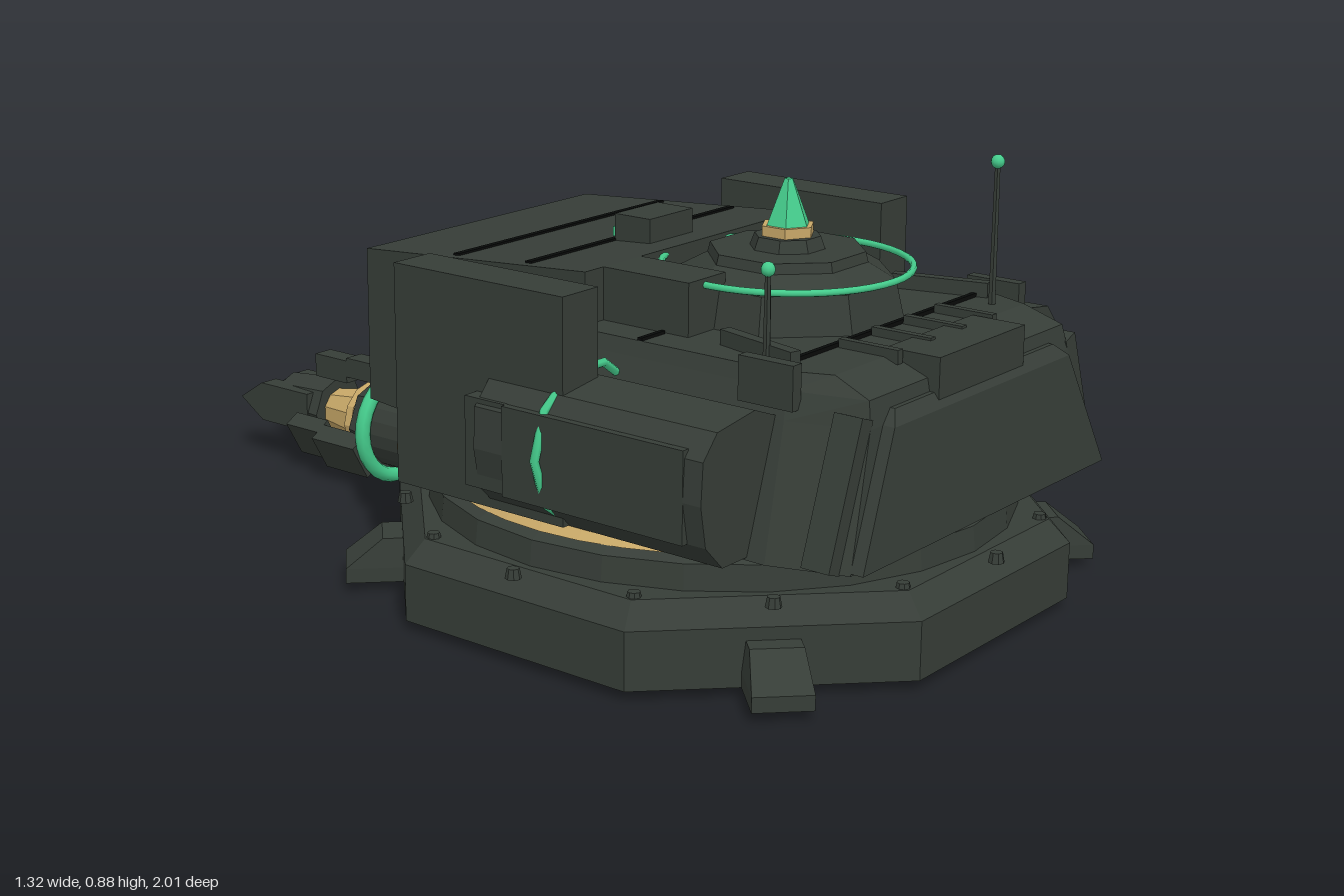
import * as THREE from 'three';

const mat = (name, color) => {
  const m = new THREE.MeshStandardMaterial({ color });
  m.name = name;
  return m;
};

export function createModel() {
  const armor = mat('dark green armor', 0x363d37);
  const black = mat('black seam', 0x080a09);
  const gold = mat('brass', 0xc8a868);
  const green = mat('mint glow', 0x45cc8c);
  const CZ = 0.35; // centre of the round base
  const root = new THREE.Group();
  root.name = 'turret';

  const add = (name, geo, material, x = 0, y = 0, z = 0, parent = root) => {
    const g = geo.index ? geo.toNonIndexed() : geo;
    const smooth = ['TorusGeometry', 'SphereGeometry'].includes(geo.type);
    if (!smooth) g.computeVertexNormals();
    const mesh = new THREE.Mesh(g, material);
    mesh.name = name;
    mesh.position.set(x, y, z);
    parent.add(mesh);
    return mesh;
  };
  const box = (name, x0, x1, y0, y1, z0, z1, m = armor, parent = root) =>
    add(name, new THREE.BoxGeometry(x1 - x0, y1 - y0, z1 - z0), m,
      (x0 + x1) / 2, (y0 + y1) / 2, (z0 + z1) / 2, parent);
  const cyl = (name, rTop, rBot, y0, y1, sides, m, x, z, turn = 0) => {
    const c = add(name, new THREE.CylinderGeometry(rTop, rBot, y1 - y0, sides), m, x, (y0 + y1) / 2, z);
    c.rotation.y = turn;
    return c;
  };

  // Solid from stacked levels; each is [y, half outline from front to back on +x]
  const loft = (levels) => {
    const rings = levels.map(([y, half]) => [
      ...half.map(([x, z]) => [x, y, z]),
      ...[...half].reverse().map(([x, z]) => [-x, y, z]),
    ]);
    const n = rings[0].length, p = [];
    const tri = (a, b, c) => p.push(...a, ...b, ...c);
    for (let k = 0; k + 1 < rings.length; k++) {
      const a = rings[k], b = rings[k + 1];
      for (let i = 0; i < n; i++) {
        const j = (i + 1) % n;
        tri(a[i], a[j], b[j]);
        tri(a[i], b[j], b[i]);
      }
    }
    const lo = rings[0], hi = rings[rings.length - 1];
    for (let i = 1; i + 1 < n; i++) {
      tri(lo[0], lo[i + 1], lo[i]);
      tri(hi[0], hi[i], hi[i + 1]);
    }
    const g = new THREE.BufferGeometry();
    g.setAttribute('position', new THREE.Float32BufferAttribute(p, 3));
    return g;
  };

  // Octagonal base, turntable and brass bearing
  const oct = 1 / Math.cos(Math.PI / 8), T = Math.PI / 8;
  cyl('baseSkirt', 0.65 * oct, 0.65 * oct, 0.02, 0.135, 8, armor, 0, CZ, T);
  cyl('baseChamfer', 0.61 * oct, 0.65 * oct, 0.135, 0.18, 8, armor, 0, CZ, T);
  cyl('turntable', 0.59, 0.595, 0.18, 0.23, 24, armor, 0, CZ);
  cyl('turntableLip', 0.565, 0.59, 0.23, 0.242, 24, armor, 0, CZ);
  cyl('brassBearing', 0.55, 0.57, 0.242, 0.262, 40, gold, 0, CZ);
  for (let i = 0; i < 16; i++) {
    const a = i * Math.PI / 8;
    cyl('baseBolt', 0.012, 0.016, 0.17, 0.19, 8, armor, 0.642 * Math.sin(a), CZ + 0.642 * Math.cos(a));
  }
  // Wedge feet on the diagonals
  for (let i = 0; i < 4; i++) {
    const g = loft([
      [0.02, [[0.057, 0.765], [0.057, 0.6]]],
      [0.05, [[0.057, 0.765], [0.057, 0.6]]],
      [0.11, [[0.05, 0.69], [0.05, 0.6]]],
    ]);
    add('foot', g, armor, 0, 0, CZ).rotation.y = Math.PI / 4 + i * Math.PI / 2;
  }

  // Sloped hull and front plate
  add('hull', loft([
    [0.255, [[0.43, 0.95], [0.48, 0.8], [0.47, 0.05], [0.36, -0.17]]],
    [0.5, [[0.35, 0.93], [0.4, 0.78], [0.4, 0.05], [0.36, -0.15]]],
    [0.55, [[0.34, 0.92], [0.38, 0.77], [0.38, 0.05], [0.35, -0.12]]],
    [0.58, [[0.33, 0.84], [0.37, 0.74], [0.37, 0.05], [0.34, -0.1]]],
  ]), armor);
  add('frontPlate', loft([
    [0.26, [[0.43, 0.976], [0.43, 0.9]]],
    [0.5, [[0.31, 0.955], [0.31, 0.88]]],
    [0.525, [[0.28, 0.935], [0.28, 0.88]]],
  ]), armor);
  box('visorBlock', -0.15, 0.15, 0.5, 0.592, 0.83, 0.945);
  box('deckSeam', -0.38, 0.38, 0.579, 0.588, 0.728, 0.738, black);
  for (const x of [-0.165, -0.055, 0.055, 0.165]) box('deckRib', x - 0.008, x + 0.008, 0.57, 0.597, 0.74, 0.87);
  for (const s of [-1, 1]) {
    const edge = box('frontEdgeBar', -0.018, 0.018, -0.14, 0.14, -0.03, 0.03);
    edge.position.set(s * 0.405, 0.39, 0.9);
    edge.rotation.z = s * 0.34;
    box('deckVent', s * 0.39 - 0.013, s * 0.39 + 0.013, 0.52, 0.605, 0.68, 0.8);
    box('sideDeckSeam', s * 0.335 - 0.035, s * 0.335 + 0.035, 0.579, 0.586, 0.424, 0.434, black);
    const rail = box('deckRail', -0.012, 0.012, -0.02, 0.02, -0.1, 0.1);
    rail.position.set(s * 0.31, 0.59, 0.66);
    rail.rotation.y = s * 0.25;
  }

  // Rear launcher box with its top sloping backward
  const launcher = new THREE.BoxGeometry(0.7, 0.36, 0.58);
  const lp = launcher.attributes.position;
  for (let i = 0; i < lp.count; i++) {
    const front = lp.getZ(i) > 0, top = lp.getY(i) > 0;
    lp.setY(i, top ? (front ? 0.685 : 0.645) : (front ? 0.27 : 0.325));
  }
  add('launcherBox', launcher, armor, 0, 0, -0.01);
  for (const z of [-0.07, 0.12]) {
    const seam = box('launcherSeam', -0.33, 0.33, -0.004, 0.004, -0.008, 0.008, black);
    seam.position.set(0, 0.666 + z * 0.069, z);
    seam.rotation.x = -0.069;
  }
  box('roofHatch', -0.07, 0.07, 0.67, 0.73, 0.125, 0.215);
  box('hatchLight', -0.06, 0.06, 0.68, 0.7, 0.112, 0.12, green);
  box('roofSensor', -0.295, -0.18, 0.57, 0.685, 0.28, 0.485);
  for (const x of [-0.13, 0.13]) for (const y of [0.4, 0.57]) {
    const cap = add('launchTubeCap', new THREE.CylinderGeometry(0.069, 0.069, 0.03, 16), gold, x, y, -0.3);
    cap.rotation.x = Math.PI / 2;
  }

  // Side pods, glowing bands and tall fins
  const podShape = new THREE.Shape([
    [0.38, 0.26], [0.55, 0.26], [0.6, 0.31], [0.615, 0.39], [0.61, 0.47], [0.57, 0.515], [0.46, 0.53], [0.38, 0.5],
  ].map(([x, y]) => new THREE.Vector2(x, y)));
  for (const s of [-1, 1]) {
    const pod = new THREE.ExtrudeGeometry(podShape, { depth: 0.53, bevelEnabled: false });
    if (s < 0) pod.rotateY(Math.PI);
    add('sidePod', pod, armor, 0, 0, s > 0 ? 0.23 : 0.76);
    const band = add('podBand', new THREE.TorusGeometry(0.152, 0.009, 6, 10), green, s * 0.475, 0.4, 0.39);
    band.rotation.z = s > 0 ? 0 : Math.PI;
    box('podPanel', s * 0.607 - 0.008, s * 0.607 + 0.008, 0.31, 0.485, 0.3, 0.72);
    box('podRear', s * 0.57 - 0.035, s * 0.57 + 0.035, 0.31, 0.485, 0.2, 0.3);
    box('tallFin', s * 0.52 - 0.05, s * 0.52 + 0.05, 0.262, 0.7, -0.01, 0.41);
    const strut = box('rearStrut', -0.018, 0.018, -0.19, 0.19, -0.03, 0.03);
    strut.position.set(s * 0.39, 0.43, -0.07);
    strut.rotation.x = 0.3;
  }

  // Cupola with glowing hoop and beacon
  cyl('cupolaBase', 0.215, 0.235, 0.57, 0.655, 8, armor, 0, 0.5, T);
  cyl('cupolaShoulder', 0.16, 0.215, 0.655, 0.685, 8, armor, 0, 0.5, T);
  cyl('cupolaCap', 0.155, 0.16, 0.685, 0.705, 8, armor, 0, 0.5, T);
  cyl('cupolaCollar', 0.066, 0.075, 0.705, 0.73, 8, armor, 0, 0.5, T);
  add('cupolaHoop', new THREE.TorusGeometry(0.245, 0.007, 8, 48), green, 0, 0.672, 0.5).rotation.x = Math.PI / 2;
  cyl('beaconSocket', 0.055, 0.055, 0.7, 0.75, 6, gold, 0, 0.5);
  cyl('beacon', 0.009, 0.045, 0.75, 0.84, 6, green, 0, 0.5);

  // Antennas
  for (const [x, z, top] of [[0.29, 0.79, 0.865], [-0.33, 0.69, 0.75]]) {
    cyl('antennaMast', 0.006, 0.008, 0.56, top, 6, armor, x, z);
    add('antennaTip', new THREE.SphereGeometry(0.014, 10, 8), green, x, top, z);
  }

  // Rear arm along -z with alternating hoops
  const arm = new THREE.Group();
  arm.name = 'rearArm';
  arm.position.y = 0.135;
  root.add(arm);
  const rod = (name, rBack, rFront, zBack, zFront, sides, m) => {
    const r = add(name, new THREE.CylinderGeometry(rFront, rBack, zFront - zBack, sides), m, 0, 0, (zBack + zFront) / 2, arm);
    r.rotation.x = Math.PI / 2;
  };
  rod('armTube', 0.097, 0.097, -0.57, 0.12, 20, armor);
  for (let i = 0; i < 6; i++)
    add('armHoop', new THREE.TorusGeometry(0.117, 0.017, 8, 28), i % 2 ? green : gold, 0, 0, 0.09 - i * 0.13, arm);
  rod('wristCollar', 0.1, 0.115, -0.62, -0.56, 8, armor);
  rod('wristCore', 0.045, 0.075, -0.77, -0.6, 10, gold);
  rod('wristRing', 0.085, 0.085, -0.65, -0.63, 12, gold);
  rod('clawHub', 0.06, 0.075, -0.9, -0.75, 8, armor);
  // Three knuckle plates around the wrist
  for (let i = 0; i < 3; i++) {
    const k = new THREE.Group();
    k.name = 'knuckle';
    k.rotation.z = i * Math.PI * 2 / 3;
    arm.add(k);
    const w = i ? 0.045 : 0.024;
    box('knucklePlate', -w, w, 0.09, 0.135, -0.7, -0.57, armor, k);
    box('knuckleTip', -w, w, 0.075, i ? 0.115 : 0.128, -0.8, -0.7, armor, k);
  }
  // Pointed prongs
  for (const s of [-1, 1]) {
    const prong = new THREE.Shape([[-0.78, -0.045], [-0.93, -0.045], [-1, 0], [-0.93, 0.045], [-0.78, 0.045]]
      .map(([z, y]) => new THREE.Vector2(-z, y)));
    const g = new THREE.ExtrudeGeometry(prong, { depth: 0.045, bevelEnabled: false });
    g.rotateY(Math.PI / 2);
    add('prong', g, armor, s * 0.052 - 0.0225, 0, 0, arm);
  }
  return root;
}
